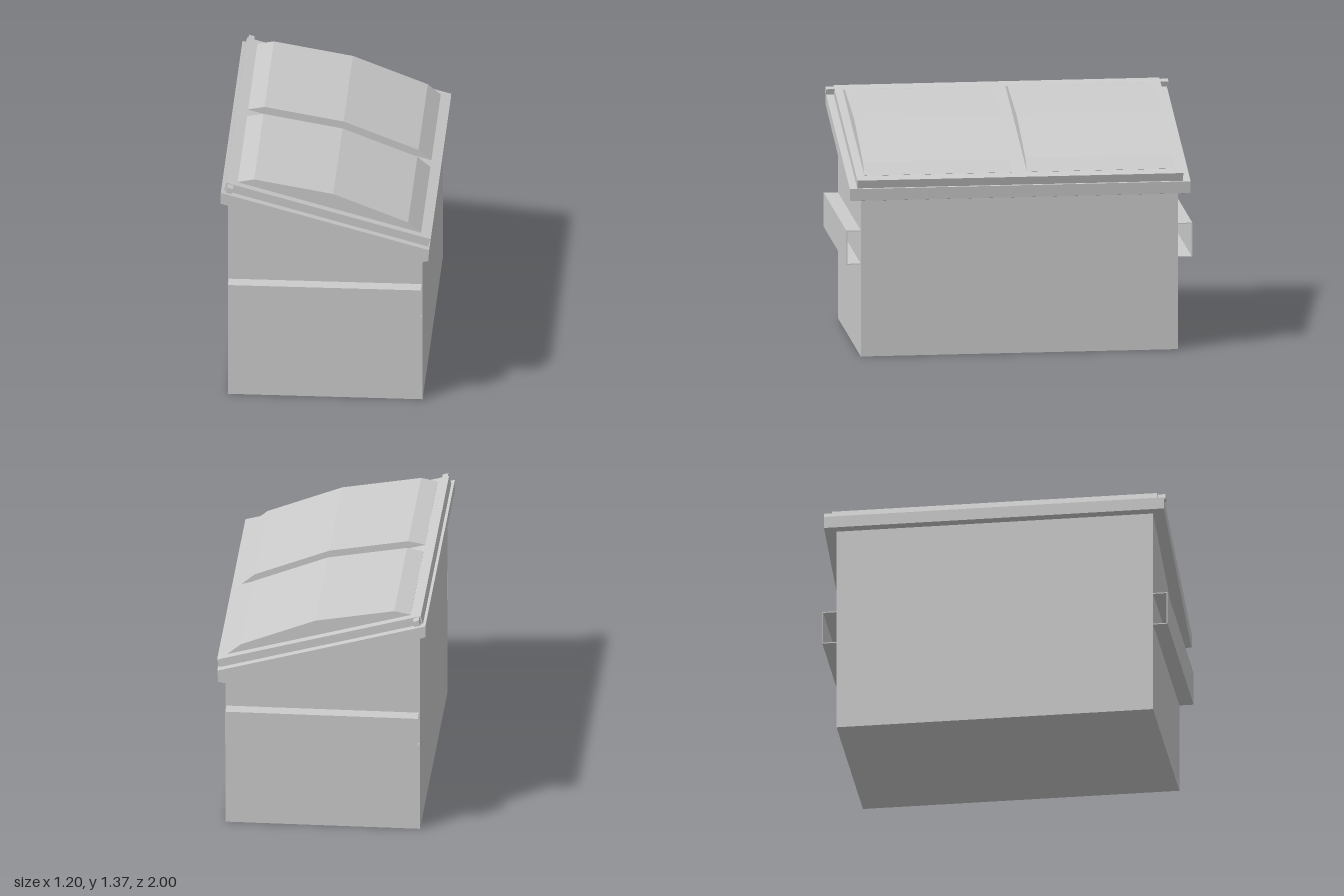
import * as THREE from 'three';

const material = new THREE.MeshStandardMaterial({ color: 0xcccccc, flatShading: true });

// Extrude a side profile (x, y points) along z between z0 and z1
function slab(name, points, z0, z1) {
  const shape = new THREE.Shape(points.map(([x, y]) => new THREE.Vector2(x, y)));
  const geometry = new THREE.ExtrudeGeometry(shape, { depth: z1 - z0, bevelEnabled: false });
  geometry.translate(0, 0, z0);
  const mesh = new THREE.Mesh(geometry, material);
  mesh.name = name;
  return mesh;
}

function box(name, w, h, d, x, y, z) {
  const mesh = new THREE.Mesh(new THREE.BoxGeometry(w, h, d), material);
  mesh.name = name;
  mesh.position.set(x, y, z);
  return mesh;
}

export function createModel() {
  const group = new THREE.Group();
  group.name = 'dumpster';

  // Bin with a sloping top
  group.add(slab('body', [[-0.565, 0], [0.555, 0], [0.555, 0.93], [-0.565, 1.25]], -0.917, 0.917));

  // Overhanging rim
  group.add(slab('rim', [[-0.602, 1.25], [0.555, 0.912], [0.592, 0.92], [0.597, 0.99], [-0.602, 1.32]], -0.985, 0.985));

  // Flat lid sheet
  group.add(slab('lid', [[-0.585, 1.315], [0.588, 0.991], [0.602, 1.04], [-0.572, 1.364]], -0.942, 0.942));

  // Two domed lid panels
  const dome = [[-0.51, 1.335], [0.535, 1.045], [0.545, 1.057], [0.47, 1.12], [0.04, 1.288], [-0.415, 1.367], [-0.51, 1.349]];
  group.add(slab('lidPanelLeft', dome, -0.895, -0.045));
  group.add(slab('lidPanelRight', dome, 0.045, 0.895));

  // Square hinge rod along the high edge
  const hinge = box('hingeRod', 0.034, 0.034, 1.98, -0.552, 1.337, 0);
  hinge.rotation.z = -0.27;
  group.add(hinge);

  // Open-ended fork pockets on both ends
  for (const side of [-1, 1]) {
    const pocket = new THREE.Group();
    pocket.name = side > 0 ? 'forkPocketFront' : 'forkPocketBack';
    const length = 1.11, x = -0.005;
    pocket.add(
      box('pocketTop', length, 0.006, 0.083, x, 0.735, side * 0.9585),
      box('pocketBottom', length, 0.006, 0.083, x, 0.541, side * 0.9585),
      box('pocketWall', length, 0.2, 0.005, x, 0.638, side * 0.9975)
    );
    group.add(pocket);
  }
  return group;
}
